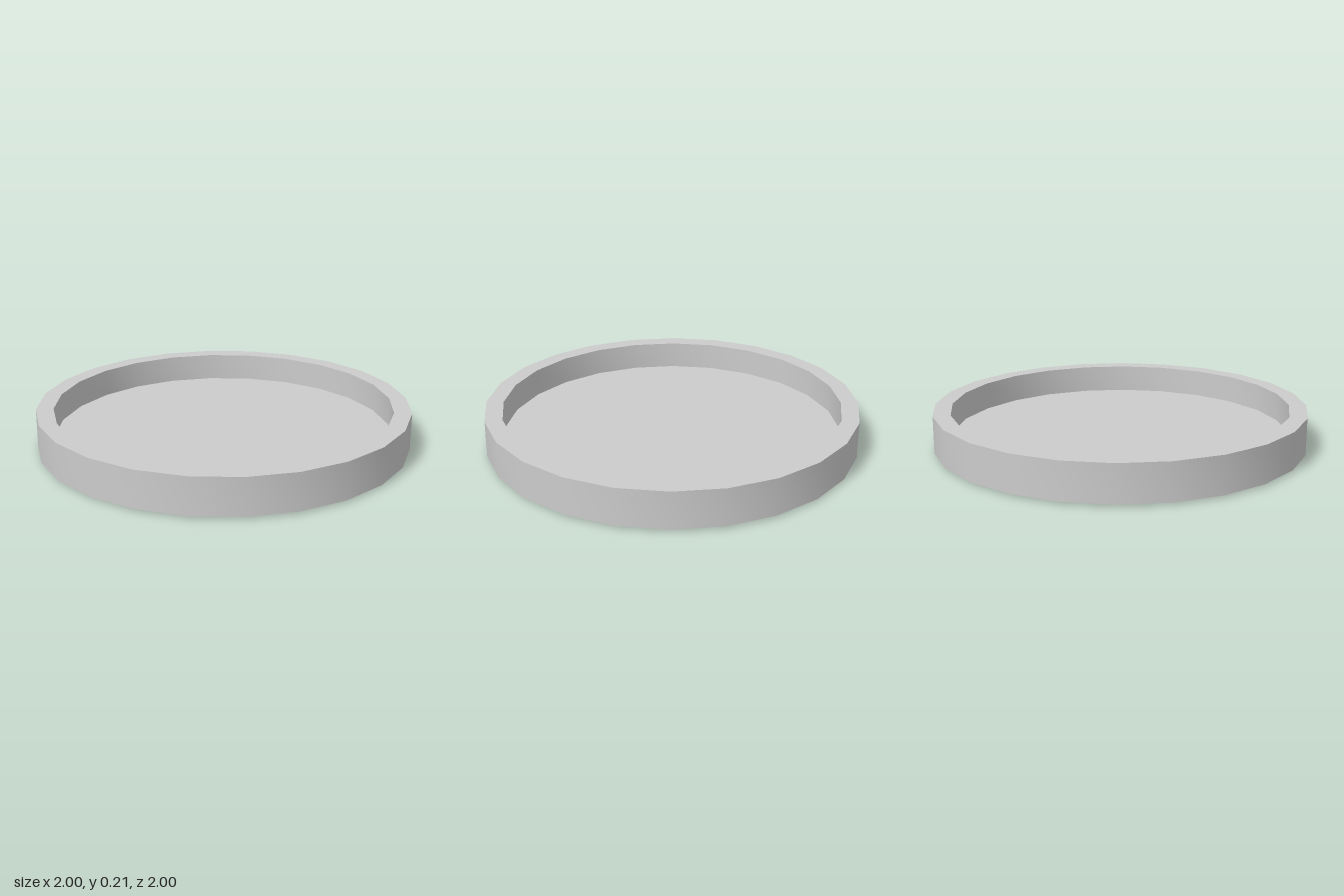
import * as THREE from 'three';
import { toCreasedNormals } from 'three/addons/utils/BufferGeometryUtils.js';

export function createModel() {
  const group = new THREE.Group();
  group.name = 'roundTray';
  const material = new THREE.MeshStandardMaterial({ color: 0xcccccc });

  // Closed section: underside, slight bottom bevel, outer wall, flat rim, inner wall, floor
  const profile = [
    [0, 0], [0.965, 0], [1, 0.01],
    [1, 0.208], [0.907, 0.208],
    [0.907, 0.058], [0, 0.058],
  ].map(([r, y]) => new THREE.Vector2(r, y));

  // 24 sides, smooth around the walls and sharp at the rim
  const geometry = toCreasedNormals(new THREE.LatheGeometry(profile, 24), 0.6);
  const tray = new THREE.Mesh(geometry, material);
  tray.name = 'tray';
  group.add(tray);
  return group;
}
